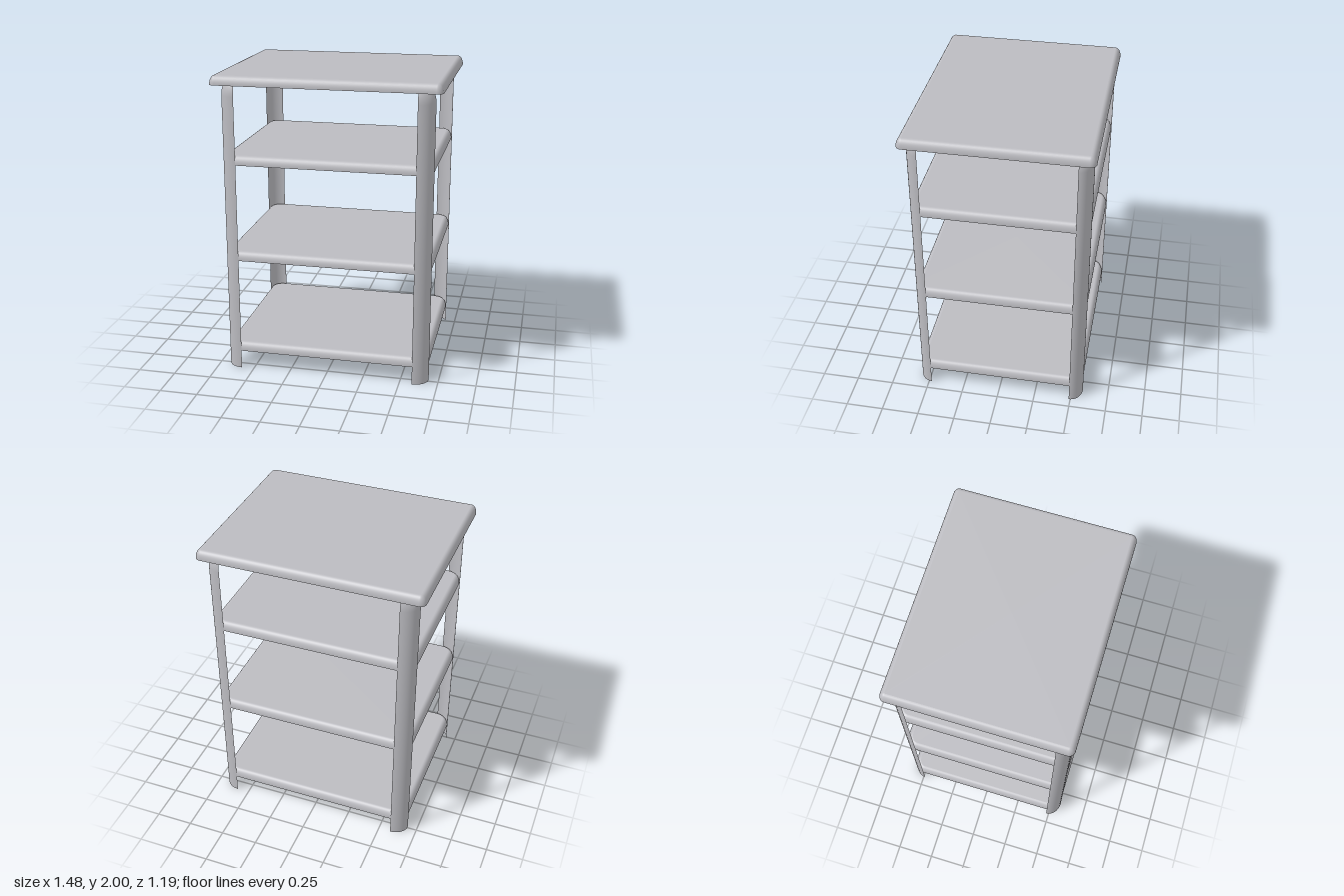
import * as THREE from 'three';

const SEG = 10;
const QUARTER = Math.PI / 2;

// Skin a list of rings (bottom to top, all the same length) into a smooth sheet
function loft(rings, closed) {
  const n = rings[0].length;
  const index = [];
  for (let r = 0; r < rings.length - 1; r++) {
    for (let i = 0; i < (closed ? n : n - 1); i++) {
      const j = (i + 1) % n;
      const a = r * n + i, b = r * n + j, c = a + n, d = b + n;
      index.push(a, c, b, b, c, d);
    }
  }
  const geo = new THREE.BufferGeometry();
  geo.setAttribute('position', new THREE.Float32BufferAttribute(rings.flat(2), 3));
  geo.setIndex(index);
  geo.computeVertexNormals();
  return geo;
}

// One quarter of an ellipse around (cx, cz); q picks the quadrant
function arc(q, cx, cz, rx, rz, y) {
  const pts = [];
  for (let i = 0; i <= SEG; i++) {
    const a = (q + i / SEG) * QUARTER;
    pts.push([cx + rx * Math.cos(a), y, cz + rz * Math.sin(a)]);
  }
  return pts;
}

const signs = [[1, 1], [-1, 1], [-1, -1], [1, -1]];

// Rounded rectangle outline made of four corner arcs
function outline(hx, hz, rx, rz, y) {
  return signs.flatMap(([sx, sz], q) => arc(q, sx * (hx - rx), sz * (hz - rz), rx, rz, y));
}

// Pressed sheet tray: flat top, rolled edge, open underneath
function tray(name, hx, hz, rx, rz, height, roll, material) {
  const group = new THREE.Group();
  group.name = name;
  const rings = [];
  for (let k = 0; k <= 10; k++) {
    const t = (k / 10) * QUARTER;
    const inset = roll * (1 - Math.cos(t));
    rings.push(outline(hx - inset, hz - inset, rx - inset, rz - inset, height * Math.sin(t)));
  }
  const rim = new THREE.Mesh(loft(rings, true), material);
  rim.name = 'rolledEdge';
  const last = rings[rings.length - 1];
  const panel = new THREE.Mesh(loft([last, last.map(() => [0, height, 0])], true), material);
  panel.name = 'panel';
  group.add(rim, panel);
  return group;
}

// Curved sheet corner post with a domed top
function leg(q, material) {
  const [sx, sz] = signs[q];
  const shoulder = 1.865, dome = 0.132;
  const rings = [arc(q, sx * 0.583, sz * 0.486, 0.102, 0.086, 0)];
  for (let k = 0; k <= 12; k++) {
    const t = (k / 12) * QUARTER;
    const s = Math.cos(t);
    rings.push(arc(q, sx * 0.583, sz * 0.486, 0.102 * s, 0.086 * s, shoulder + dome * Math.sin(t)));
  }
  const mesh = new THREE.Mesh(loft(rings, false), material);
  mesh.name = ['frontLeftLeg', 'frontRightLeg', 'backRightLeg', 'backLeftLeg'][q];
  return mesh;
}

export function createModel() {
  const metal = new THREE.MeshStandardMaterial({ color: 0xbcbcc1, side: THREE.DoubleSide });
  metal.name = 'greyMetal';

  const model = new THREE.Group();
  model.name = 'shelfUnit';

  // Overhanging top
  const top = tray('tableTop', 0.738, 0.597, 0.04, 0.04, 0.06, 0.036, metal);
  top.position.y = 1.94;
  model.add(top);

  // Shelves and legs sit a hair towards the back
  const frame = new THREE.Group();
  frame.name = 'frame';
  frame.position.z = -0.004;
  [0.123, 0.772, 1.422].forEach((y, i) => {
    const shelf = tray(['lowerShelf', 'middleShelf', 'upperShelf'][i], 0.681, 0.568, 0.098, 0.082, 0.06, 0.036, metal);
    shelf.position.y = y;
    frame.add(shelf);
  });
  for (let q = 0; q < 4; q++) frame.add(leg(q, metal));
  model.add(frame);

  return model;
}
